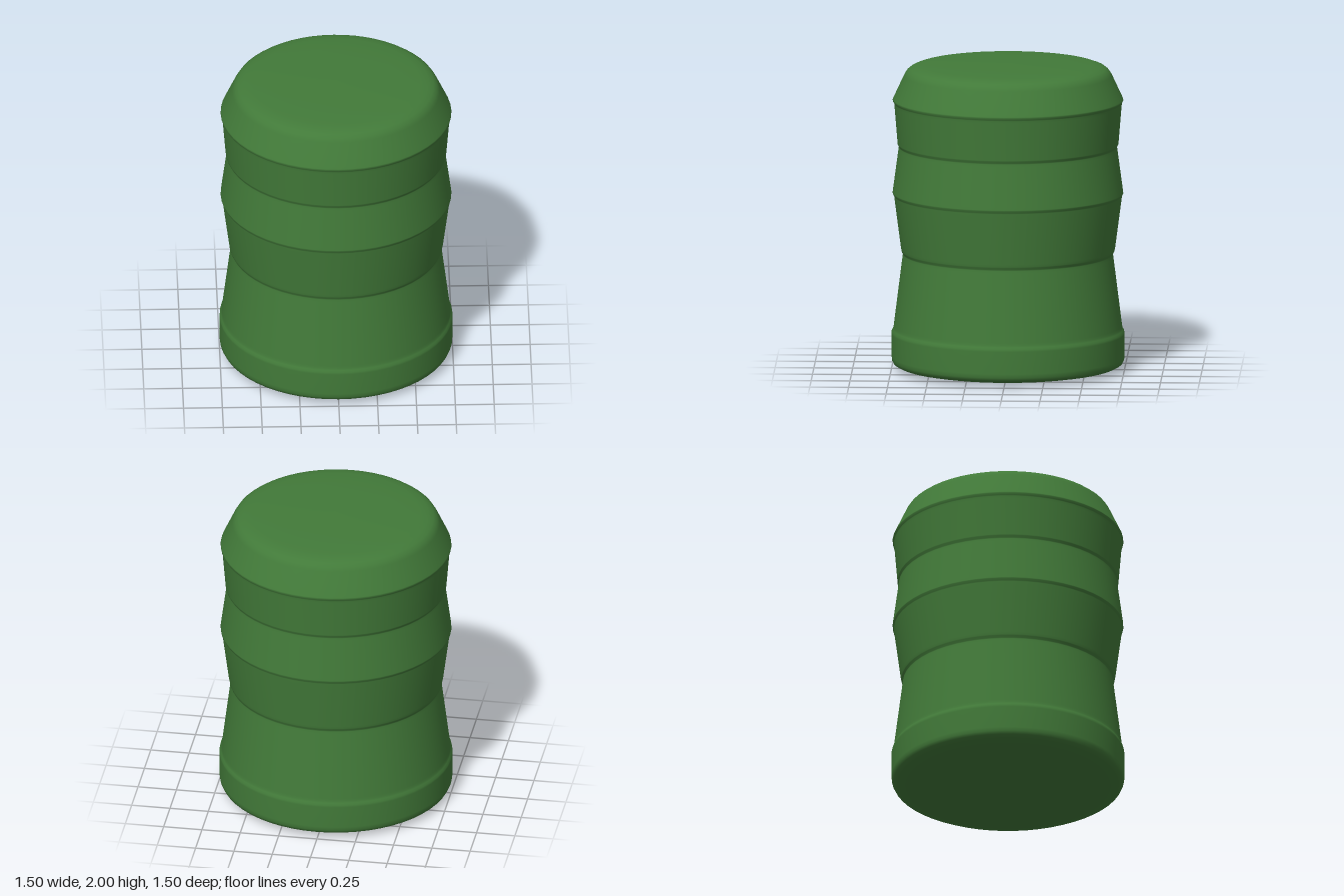
import * as THREE from 'three';

const SEGMENTS = 56;

export function createModel() {
  const model = new THREE.Group();
  model.name = 'ribbedBarrel';

  const green = new THREE.MeshStandardMaterial({ color: 0x427a39 });
  green.name = 'green';

  // Outline from the bottom centre to the top centre, as [radius, height]
  const profile = [
    // slightly domed underside and rounded foot
    [0, 0], [0.3, 0.003], [0.55, 0.01], [0.66, 0.02], [0.71, 0.03],
    [0.738, 0.045], [0.748, 0.065], [0.75, 0.09],
    // foot band with a narrow upper ledge
    [0.75, 0.235], [0.749, 0.25], [0.741, 0.262], [0.737, 0.275],
    // long taper to the waist
    [0.735, 0.29], [0.679, 0.735], [0.677, 0.752],
    // waist step
    [0.677, 0.759], [0.685, 0.771], [0.686, 0.778],
    // flare up to the middle bulge
    [0.69, 0.795], [0.732, 1.115], [0.734, 1.132],
    // middle step
    [0.735, 1.139], [0.743, 1.151], [0.742, 1.158],
    // taper to the upper groove
    [0.74, 1.175], [0.705, 1.435], [0.703, 1.451],
    // groove step
    [0.703, 1.458], [0.711, 1.47], [0.711, 1.477],
    // flare up to the lid
    [0.713, 1.494], [0.732, 1.724], [0.734, 1.739],
    // lid step
    [0.735, 1.745], [0.743, 1.757], [0.74, 1.765],
    // sloping lid, rounded rim and slightly domed top
    [0.733, 1.78], [0.668, 1.92], [0.652, 1.945], [0.63, 1.962],
    [0.595, 1.975], [0.54, 1.984], [0.4, 1.992], [0.2, 1.998], [0, 2],
  ].map(([r, y]) => new THREE.Vector2(r, y));

  const body = new THREE.Mesh(new THREE.LatheGeometry(profile, SEGMENTS), green);
  body.name = 'barrelBody';
  model.add(body);

  return model;
}
